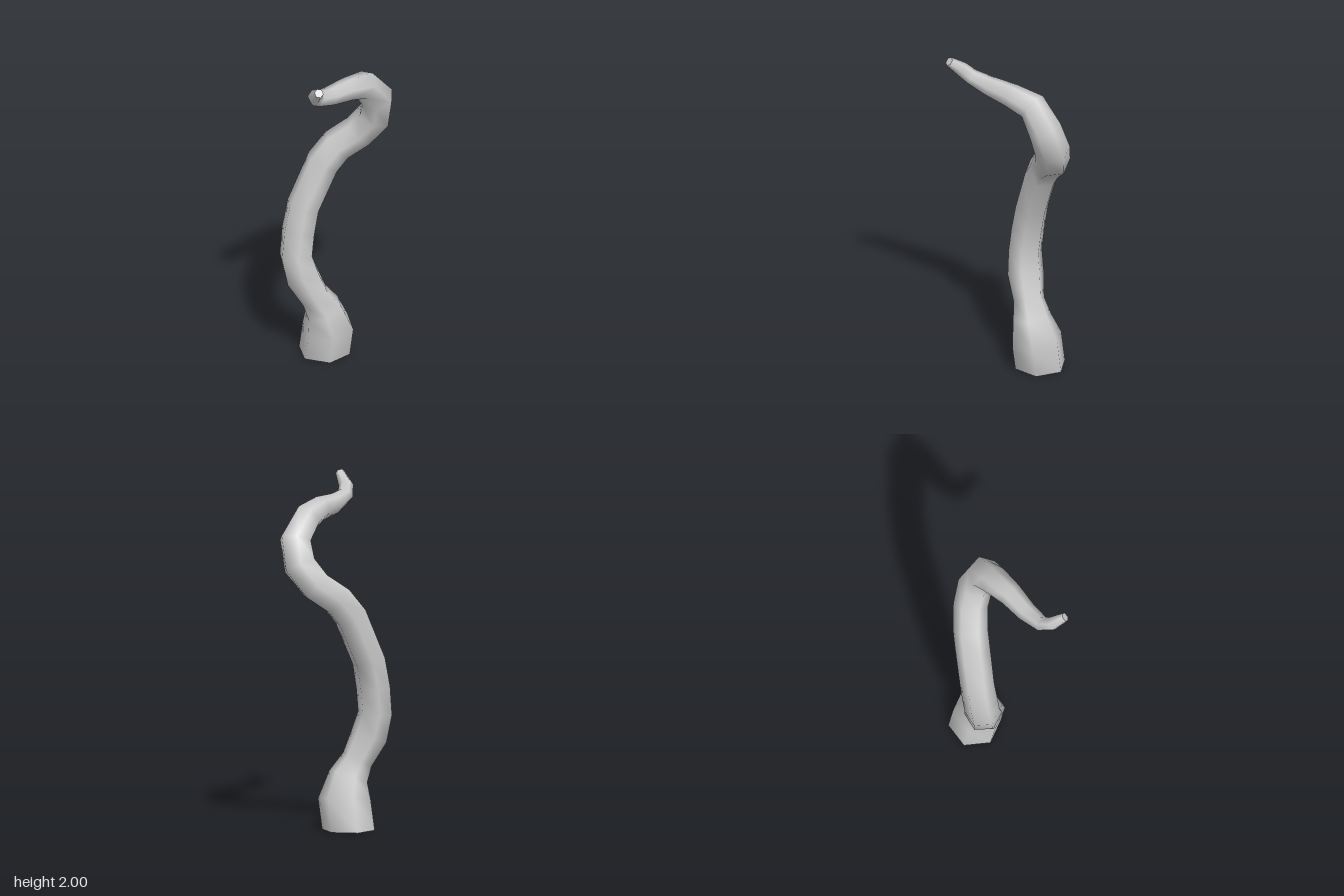
import * as THREE from 'three';

const SIDES = 6;

// Cross-sections from base to tip: centre x, y, z and radius
const RINGS = [
  [-0.07, 0, -0.195, 0.152], [-0.05, 0.175, -0.172, 0.152], [-0.077, 0.3, -0.15, 0.116],
  [-0.13, 0.395, -0.141, 0.092], [-0.2, 0.53, -0.135, 0.108], [-0.233, 0.66, -0.138, 0.1],
  [-0.22, 0.81, -0.152, 0.1], [-0.192, 0.965, -0.17, 0.098], [-0.08, 1.23, -0.205, 0.1],
  [0.0, 1.33, -0.225, 0.1], [0.125, 1.415, -0.235, 0.1], [0.215, 1.53, -0.215, 0.102],
  [0.232, 1.67, -0.17, 0.097], [0.155, 1.79, -0.11, 0.085], [0.06, 1.825, 0, 0.07],
  [-0.042, 1.838, 0.1, 0.058], [-0.115, 1.868, 0.19, 0.046], [-0.13, 1.918, 0.25, 0.042],
  [-0.107, 1.983, 0.325, 0.027],
];

// Hexagonal rings set square to the path, carried along without twisting
function makeRings() {
  const centres = RINGS.map(([x, y, z]) => new THREE.Vector3(x, y, z));
  const last = centres.length - 1;
  const ref = new THREE.Vector3(-0.03, 0, -0.15);
  return centres.map((c, i) => {
    const t = i === 0
      ? new THREE.Vector3(0, 1, 0)
      : centres[Math.min(i + 1, last)].clone().sub(c).normalize()
        .add(c.clone().sub(centres[i - 1]).normalize()).normalize();
    ref.addScaledVector(t, -ref.dot(t)).normalize();
    const side = t.clone().cross(ref);
    return Array.from({ length: SIDES }, (_, j) => {
      const a = (j / SIDES) * Math.PI * 2;
      return c.clone()
        .addScaledVector(ref, Math.cos(a) * RINGS[i][3])
        .addScaledVector(side, Math.sin(a) * RINGS[i][3]);
    });
  });
}

function buildMesh(name, points, index, material) {
  const geometry = new THREE.BufferGeometry().setFromPoints(points);
  geometry.setIndex(index);
  geometry.computeVertexNormals();
  const mesh = new THREE.Mesh(geometry, material);
  mesh.name = name;
  return mesh;
}

// Flat end closing one ring
function buildCap(name, ring, flip, material) {
  const index = [];
  for (let j = 1; j < SIDES - 1; j++) index.push(0, ...(flip ? [j + 1, j] : [j, j + 1]));
  return buildMesh(name, ring, index, material);
}

export function createModel() {
  const group = new THREE.Group();
  group.name = 'tentacle';
  const material = new THREE.MeshStandardMaterial({ color: 0xcccccc });
  const rings = makeRings();

  // Smooth skin joining the rings
  const index = [];
  for (let i = 0; i < rings.length - 1; i++) {
    for (let j = 0; j < SIDES; j++) {
      const k = (j + 1) % SIDES;
      const a = i * SIDES + j, b = i * SIDES + k;
      index.push(a, b, a + SIDES, b, b + SIDES, a + SIDES);
    }
  }
  group.add(buildMesh('tentacleSkin', rings.flat(), index, material));

  // Base and tip ends
  group.add(buildCap('baseCap', rings[0], true, material));
  group.add(buildCap('tipCap', rings[rings.length - 1], false, material));
  return group;
}
